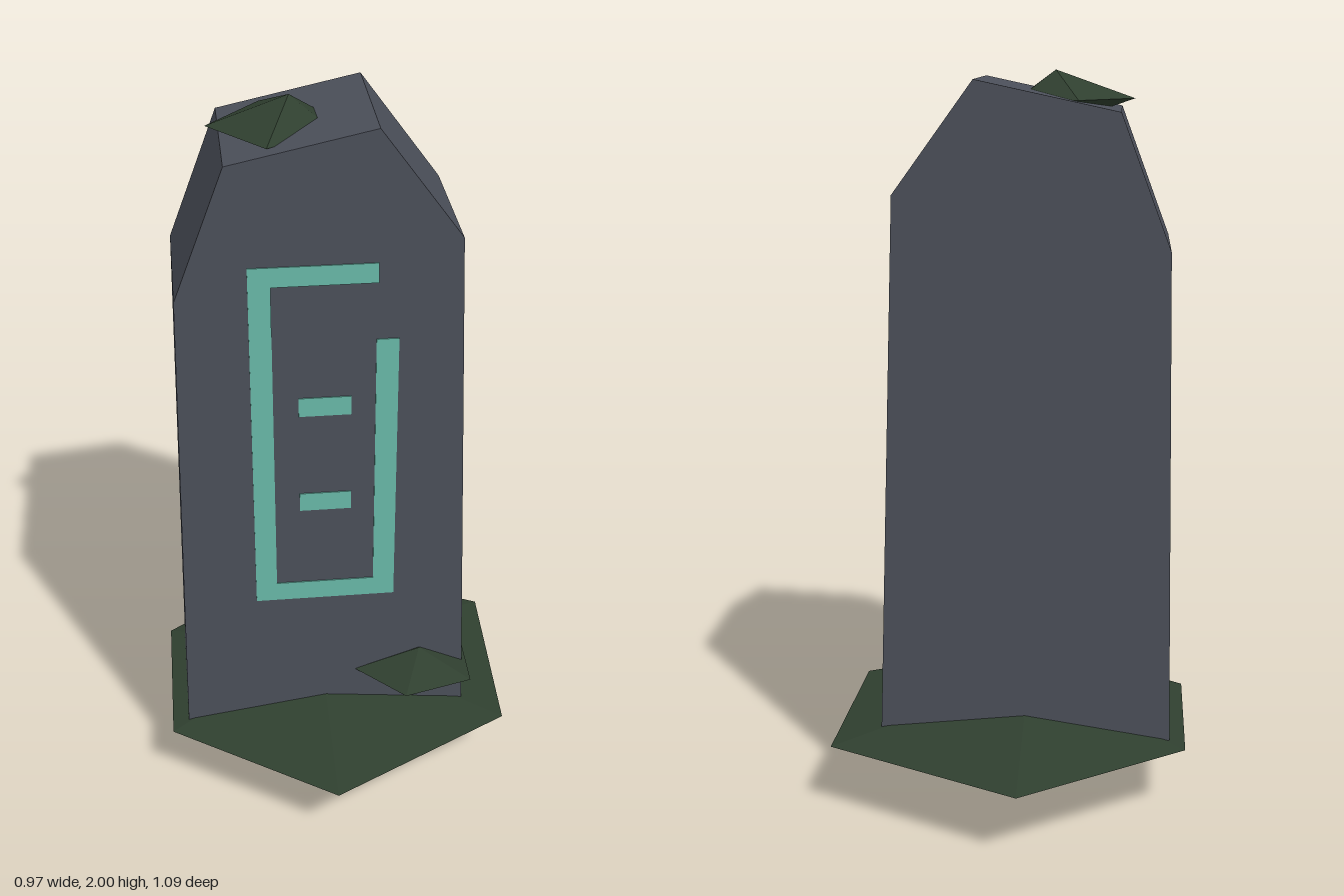
import * as THREE from 'three';

const material = (name, color) => {
  const m = new THREE.MeshStandardMaterial({ color });
  m.name = name;
  return m;
};

// Flat extrusion of an outline, from z upward by depth
function plate(name, points, z, depth, mat) {
  const shape = new THREE.Shape(points.map(([x, y]) => new THREE.Vector2(x, y)));
  const geo = new THREE.ExtrudeGeometry(shape, { depth, bevelEnabled: false });
  const mesh = new THREE.Mesh(geo.translate(0, 0, z), mat);
  mesh.name = name;
  return mesh;
}

// Faceted double pyramid: a ring of [x, z] points between a top and a bottom tip
function rock(name, ring, ringY, [x, z], topY, bottomY, mat) {
  const pos = [];
  ring.forEach(([ax, az], i) => {
    const [bx, bz] = ring[(i + 1) % ring.length];
    pos.push(x, topY, z, bx, ringY, bz, ax, ringY, az);
    pos.push(x, bottomY, z, ax, ringY, az, bx, ringY, bz);
  });
  const geo = new THREE.BufferGeometry();
  geo.setAttribute('position', new THREE.Float32BufferAttribute(pos, 3));
  geo.computeVertexNormals();
  const mesh = new THREE.Mesh(geo, mat);
  mesh.name = name;
  return mesh;
}

export function createModel() {
  const stone = material('slate stone', 0x4b4f59);
  const moss = material('dark moss', 0x2f3f2f);
  const glow = material('teal rune', 0x68b8a8);
  const group = new THREE.Group();
  group.name = 'runestone';

  // Standing slab with a chipped, sloping top
  group.add(plate('slab', [
    [-0.442, 0.2], [0.356, 0.2], [0.302, 1.69], [0.09, 1.98], [-0.284, 1.9], [-0.417, 1.55],
  ], -0.197, 0.398, stone));

  // Carved rune: open frame and two short bars
  group.add(plate('runeFrame', [
    [-0.235, 0.62], [0.146, 0.62], [0.146, 1.422], [0.088, 1.422], [0.088, 0.676],
    [-0.178, 0.676], [-0.178, 1.58], [0.092, 1.58], [0.092, 1.634], [-0.235, 1.634],
  ], 0.198, 0.006, glow));
  for (const y of [0.913, 1.206]) {
    group.add(plate('runeBar', [
      [-0.112, y], [0.025, y], [0.025, y + 0.054], [-0.112, y + 0.054],
    ], 0.198, 0.006, glow));
  }

  // Mossy mound at the foot
  group.add(rock('mossMound', [
    [0.485, -0.275], [0.465, 0.27], [-0.043, 0.542], [-0.488, 0.235], [-0.485, -0.23], [-0.043, -0.548],
  ], 0.193, [-0.043, 0], 0.308, 0.005, moss));

  // Small moss clumps on the crown and at the front foot
  group.add(rock('crownMoss', [
    [-0.01, 0.06], [-0.178, 0.168], [-0.318, 0], [-0.175, -0.163], [-0.015, -0.053],
  ], 1.927, [-0.11, 0], 2, 1.855, moss));
  group.add(rock('footMoss', [
    [0.362, 0.284], [0.17, 0.335], [0.04, 0.2], [0.17, 0.07], [0.364, 0.12],
  ], 0.352, [0.224, 0.205], 0.417, 0.287, moss));

  return group;
}
